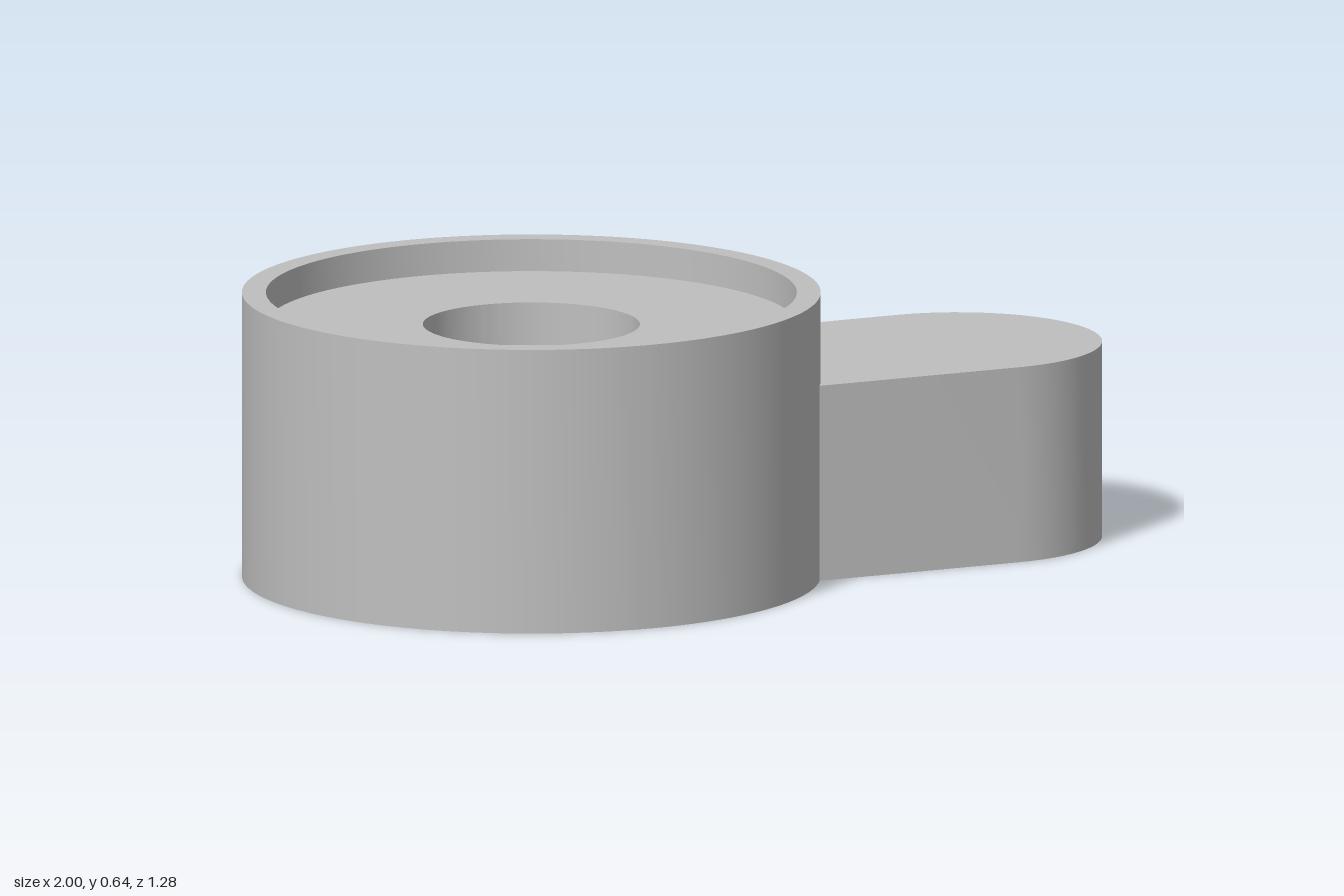
import * as THREE from 'three';
import { toCreasedNormals } from 'three/addons/utils/BufferGeometryUtils.js';

const HUB_X = -0.36, HUB_R = 0.64, BORE_R = 0.24;

export function createModel() {
  const group = new THREE.Group();
  group.name = 'leverKnob';
  const grey = new THREE.MeshStandardMaterial({ color: 0xbfbfbf });
  grey.name = 'plain grey';

  const add = (name, geometry) => {
    const mesh = new THREE.Mesh(toCreasedNormals(geometry, 0.5), grey);
    mesh.name = name;
    group.add(mesh);
    return mesh;
  };
  // Extrude a plan outline upwards from y0 to y1
  const extrudeUp = (shape, y0, y1) =>
    new THREE.ExtrudeGeometry(shape, { depth: y1 - y0, bevelEnabled: false, curveSegments: 16 })
      .rotateX(-Math.PI / 2).translate(0, y0, 0);

  // Round hub: countersink, outer wall, raised rim, recessed face, bore, screw hole
  const profile = [
    [0.14, 0.12], [0.26, 0], [HUB_R, 0], [HUB_R, 0.64], [0.587, 0.64], [0.587, 0.568],
    [BORE_R, 0.568], [BORE_R, 0.2], [0.14, 0.2], [0.14, 0.12],
  ].map(([r, y]) => new THREE.Vector2(r, y));
  add('hub', new THREE.LatheGeometry(profile, 192)).position.x = HUB_X;

  // Flat that makes the lower bore D-shaped
  const a = Math.acos(0.2 / BORE_R);
  const segment = new THREE.Shape();
  segment.absarc(0, 0, BORE_R, Math.PI - a, Math.PI + a, false);
  segment.closePath();
  add('boreFlat', extrudeUp(segment, 0.2, 0.49)).position.x = HUB_X;

  // Lever arm: rounded tip, root curved to meet the hub
  const arm = new THREE.Shape();
  arm.absarc(0.68, 0, 0.32, -Math.PI / 2, Math.PI / 2, false);
  arm.absarc(HUB_X, 0, HUB_R, Math.PI / 6, -Math.PI / 6, true);
  arm.closePath();
  add('leverArm', extrudeUp(arm, 0, 0.44));

  return group;
}
